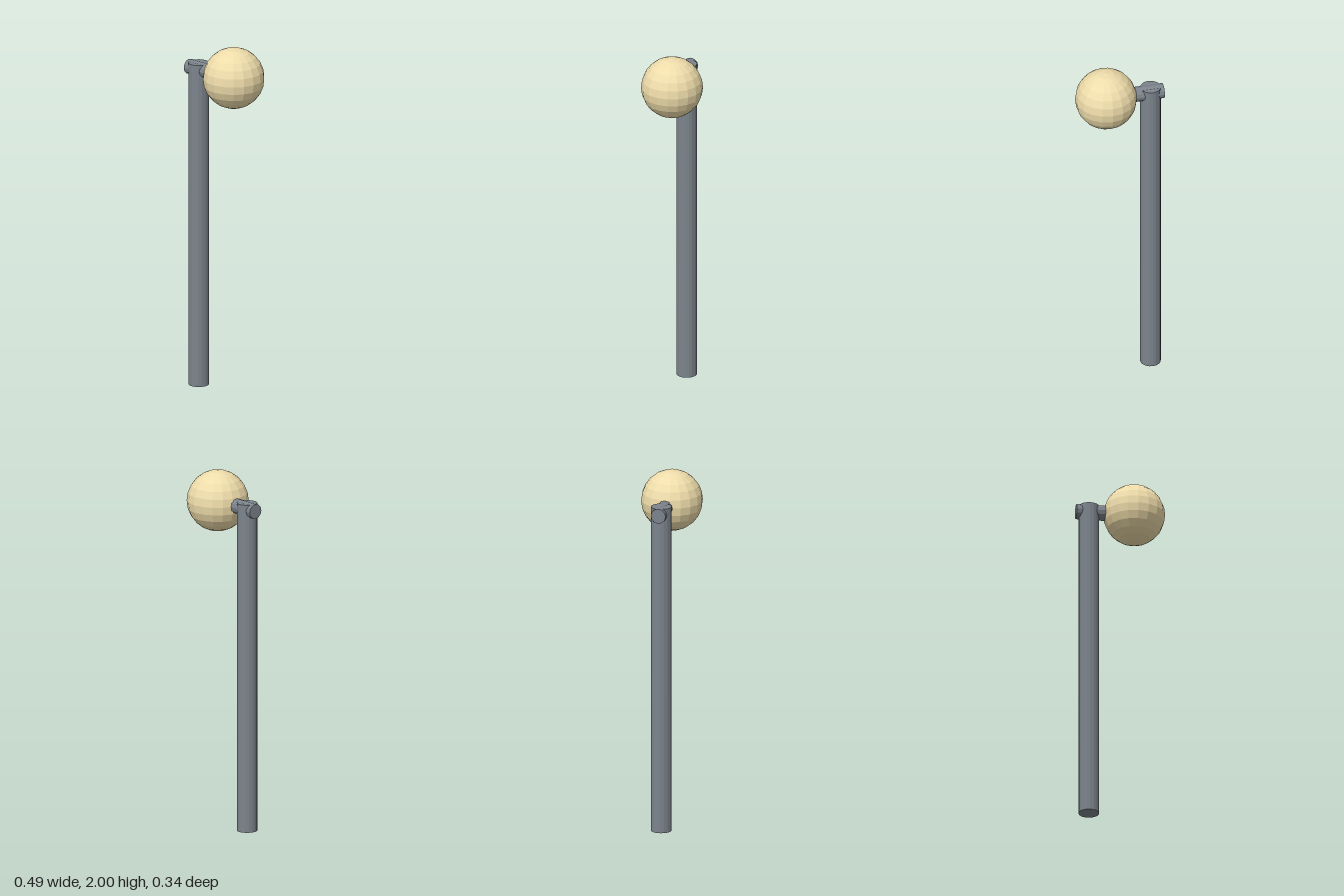
import * as THREE from 'three';

export function createModel() {
  const group = new THREE.Group();
  const metal = new THREE.MeshStandardMaterial({ color: 0x7c848c, flatShading: true });
  const cream = new THREE.MeshStandardMaterial({ color: 0xeedcaa, flatShading: true });

  const add = (name, geometry, material, x, y) => {
    const mesh = new THREE.Mesh(geometry, material);
    mesh.name = name;
    mesh.position.set(x, y, 0);
    group.add(mesh);
  };

  const axisY = 1.829; // shared height of arm and globe
  const postHeight = 1.865;

  // Upright post
  add('post', new THREE.CylinderGeometry(0.057, 0.057, postHeight, 18), metal, -0.175, postHeight / 2);

  // Short horizontal arm through the post top, ending inside the globe
  const armStart = -0.247, armEnd = 0;
  const arm = new THREE.CylinderGeometry(0.042, 0.042, armEnd - armStart, 12).rotateZ(Math.PI / 2);
  add('arm', arm, metal, (armStart + armEnd) / 2, axisY);

  // Faceted globe, turned so a column of vertices faces the front
  add('globe', new THREE.SphereGeometry(0.171, 18, 12).rotateY(Math.PI / 2), cream, 0.077, axisY);

  return group;
}
